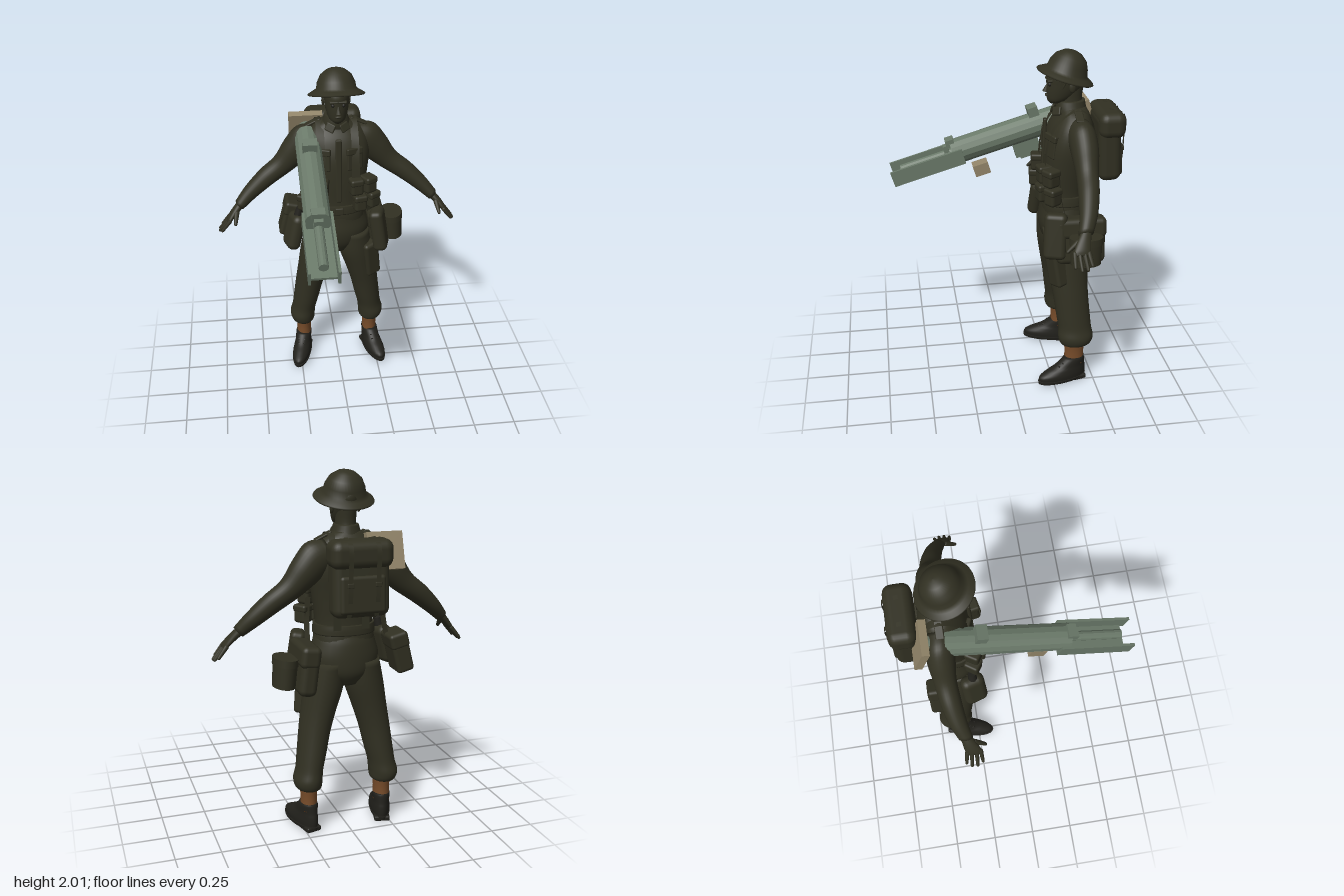
import * as THREE from 'three';
import { RoundedBoxGeometry } from 'three/addons/geometries/RoundedBoxGeometry.js';

const paint = (name, color, side = THREE.FrontSide) => {
  const m = new THREE.MeshStandardMaterial({ color, side });
  m.name = name;
  return m;
};

export function createModel() {
  const olive = paint('dark olive cloth', 0x313022, THREE.DoubleSide);
  const leather = paint('black leather', 0x22211c);
  const brown = paint('brown gaiter', 0x774c2a);
  const green = paint('grey green metal', 0x6a7969);
  const tan = paint('tan padding', 0x93866a);
  const root = new THREE.Group();
  root.name = 'soldier';

  const group = (name, parent = root) => {
    const g = new THREE.Group();
    g.name = name;
    parent.add(g);
    return g;
  };
  const add = (name, geo, mat, pos = [0, 0, 0], rot = [0, 0, 0], parent = root) => {
    const m = new THREE.Mesh(geo, mat);
    m.name = name;
    m.position.set(...pos);
    m.rotation.set(...rot);
    parent.add(m);
    return m;
  };
  const soft = (w, h, d, r = 0.02) => new RoundedBoxGeometry(w, h, d, 3, Math.min(r, w / 2.1, h / 2.1, d / 2.1));
  const flat = (geo) => {
    const g = geo.toNonIndexed();
    g.computeVertexNormals();
    return g;
  };

  // Loft through rings [x, y, z, ru, rv, angle]; ru lies in the xy plane at angle, rv along z
  const loft = (rings, e = 1, steps = 5, n = 28) => {
    const place = new THREE.CatmullRomCurve3(rings.map((r) => new THREE.Vector3(r[0], r[1], r[2])), false, 'catmullrom');
    const size = new THREE.CatmullRomCurve3(rings.map((r) => new THREE.Vector3(r[3], r[4], r[5] || 0)), false, 'catmullrom');
    const rows = (rings.length - 1) * steps, pos = [], idx = [];
    const pw = (v) => Math.sign(v) * Math.abs(v) ** e;
    for (let i = 0; i <= rows; i++) {
      const c = place.getPoint(i / rows), s = size.getPoint(i / rows);
      for (let j = 0; j < n; j++) {
        const t = (j / n) * Math.PI * 2, u = s.x * pw(Math.cos(t)), v = s.y * pw(Math.sin(t));
        pos.push(c.x + u * Math.cos(s.z), c.y + u * Math.sin(s.z), c.z + v);
      }
    }
    for (let i = 0; i < rows; i++) for (let j = 0; j < n; j++) {
      const a = i * n + j, b = i * n + ((j + 1) % n);
      idx.push(a, a + n, b, b, a + n, b + n);
    }
    const c0 = pos.length / 3, last = rows * n;
    const p0 = place.getPoint(0), p1 = place.getPoint(1);
    pos.push(p0.x, p0.y, p0.z, p1.x, p1.y, p1.z);
    for (let j = 0; j < n; j++) {
      const k = (j + 1) % n;
      idx.push(c0, j, k, c0 + 1, last + k, last + j);
    }
    const g = new THREE.BufferGeometry();
    g.setAttribute('position', new THREE.Float32BufferAttribute(pos, 3));
    g.setIndex(idx);
    g.computeVertexNormals();
    return g;
  };
  const mirror = (rings, s) => rings.map(([x, y, z, u, v, a = 0]) => [x * s, y, z, u, v, a * s]);

  // Tapered rod between two points
  const rod = (name, a, b, r0, r1, mat, parent) => {
    const p = new THREE.Vector3(...a), d = new THREE.Vector3(...b).sub(p), len = d.length();
    const pts = [[0, -r0], [r0 * 0.8, -r0 * 0.6], [r0, 0], [r1, len - r1], [r1 * 0.7, len - r1 * 0.3], [0, len]];
    const m = add(name, new THREE.LatheGeometry(pts.map((q) => new THREE.Vector2(...q)), 10), mat, a, [0, 0, 0], parent);
    m.quaternion.setFromUnitVectors(new THREE.Vector3(0, 1, 0), d.normalize());
  };
  // Flat webbing along a path, its width across x
  const ribbon = (name, points, width, parent = root) => {
    const curve = new THREE.CatmullRomCurve3(points.map((p) => new THREE.Vector3(...p)));
    const geo = new THREE.PlaneGeometry(width, 1, 1, 24), p = geo.attributes.position;
    for (let i = 0; i < p.count; i++) {
      const q = curve.getPoint(Math.floor(i / 2) / 24);
      p.setXYZ(i, q.x + p.getX(i), q.y, q.z);
    }
    geo.computeVertexNormals();
    add(name, geo, olive, [0, 0, 0], [0, 0, 0], parent);
  };

  // Jacket, pelvis, neck and collar
  add('jacket', loft([[0, 1.05, -0.335, 0.17, 0.135], [0, 1.12, -0.33, 0.168, 0.132], [0, 1.2, -0.33, 0.16, 0.125],
    [0, 1.35, -0.335, 0.18, 0.132], [0, 1.48, -0.35, 0.195, 0.138], [0, 1.58, -0.365, 0.185, 0.12],
    [0, 1.65, -0.375, 0.14, 0.088], [0, 1.69, -0.37, 0.075, 0.07]], 0.9), olive);
  add('trouserSeat', loft([[0, 0.85, -0.34, 0.08, 0.1], [0, 0.92, -0.34, 0.17, 0.138], [0, 1.0, -0.335, 0.197, 0.148],
    [0, 1.08, -0.335, 0.178, 0.14], [0, 1.13, -0.33, 0.165, 0.13]]), olive);
  add('belt', loft([[0, 1.135, -0.33, 0.174, 0.138], [0, 1.165, -0.33, 0.172, 0.138], [0, 1.19, -0.33, 0.169, 0.135]], 0.9), olive);
  add('buckle', soft(0.05, 0.045, 0.02, 0.006), olive, [0, 1.163, -0.19]);
  add('placket', soft(0.035, 0.4, 0.02, 0.008), olive, [0, 1.42, -0.209], [-0.03, 0, 0]);
  add('neck', loft([[0, 1.64, -0.375, 0.075, 0.075], [0, 1.72, -0.355, 0.056, 0.066], [0, 1.82, -0.36, 0.056, 0.07]]), olive);
  add('collar', loft([[0, 1.655, -0.365, 0.092, 0.088], [0, 1.69, -0.36, 0.078, 0.085], [0, 1.725, -0.36, 0.066, 0.078]]), olive);

  // Head and face
  const head = group('head');
  add('face', loft([[0, 1.708, -0.27, 0.022, 0.03], [0, 1.728, -0.285, 0.047, 0.06], [0, 1.765, -0.308, 0.062, 0.088],
    [0, 1.82, -0.328, 0.073, 0.108], [0, 1.87, -0.335, 0.076, 0.113], [0, 1.92, -0.34, 0.06, 0.09]]), olive, [0, 0, 0], [0, 0, 0], head);
  add('nose', new THREE.ConeGeometry(0.017, 0.055, 10), olive, [0, 1.802, -0.219], [-0.25, 0, 0], head);
  add('lips', new THREE.SphereGeometry(0.02, 12, 8).scale(1, 0.4, 0.5), olive, [0, 1.756, -0.221], [0, 0, 0], head);
  add('brow', soft(0.1, 0.014, 0.03, 0.007), olive, [0, 1.842, -0.233], [0, 0, 0], head);
  for (const s of [1, -1]) {
    add('eye', new THREE.SphereGeometry(0.011, 10, 8), leather, [s * 0.03, 1.822, -0.232], [0, 0, 0], head);
    add('ear', new THREE.SphereGeometry(0.024, 12, 8).scale(0.4, 1.2, 0.8), olive, [s * 0.075, 1.81, -0.35], [0, 0, 0], head);
    rod('chinStrap', [s * 0.082, 1.86, -0.32], [s * 0.035, 1.72, -0.262], 0.005, 0.005, olive, head);
  }
  const brim = [[0.11, -0.005], [0.16, -0.024], [0.165, -0.02], [0.162, -0.014], [0.135, 0.002], [0.115, 0.014],
    [0.109, 0.05], [0.088, 0.092], [0.052, 0.12], [0.025, 0.129], [0, 0.131]];
  add('helmet', new THREE.LatheGeometry(brim.map((p) => new THREE.Vector2(...p)), 40), olive, [0, 1.875, -0.328], [-0.3, 0, 0], head);

  for (const s of [1, -1]) {
    const side = s > 0 ? 'left' : 'right';

    // Arm, palm and fingers
    const arm = group(side + 'Arm');
    add('sleeve', loft(mirror([[0.11, 1.575, -0.385, 0.085, 0.07, -1.9], [0.18, 1.55, -0.39, 0.1, 0.078, -2.1], [0.245, 1.485, -0.395, 0.088, 0.075, -2.25],
      [0.32, 1.4, -0.392, 0.066, 0.062, -2.35], [0.42, 1.325, -0.38, 0.058, 0.058, -2.35], [0.52, 1.24, -0.358, 0.046, 0.05, -2.3],
      [0.59, 1.172, -0.33, 0.034, 0.04, -2.3]], s)), olive, [0, 0, 0], [0, 0, 0], arm);
    add('palm', loft(mirror([[0.575, 1.185, -0.335, 0.024, 0.03, -2.3], [0.615, 1.145, -0.315, 0.022, 0.038, -2.3],
      [0.65, 1.105, -0.3, 0.018, 0.045, -2.3], [0.667, 1.085, -0.295, 0.01, 0.04, -2.3]], s)), olive, [0, 0, 0], [0, 0, 0], arm);
    [[-0.335, -0.348, 0.705, 1.035], [-0.31, -0.32, 0.722, 1.02], [-0.283, -0.288, 0.724, 1.018], [-0.26, -0.255, 0.708, 1.03]].forEach(([z0, z1, x, y]) =>
      rod('finger', [s * 0.655, 1.097, z0], [s * x, y, z1], 0.013, 0.009, olive, arm));
    rod('thumb', [s * 0.61, 1.14, -0.285], [s * 0.622, 1.085, -0.222], 0.016, 0.01, olive, arm);

    // Trouser leg, gaiter and boot
    const leg = group(side + 'Leg');
    add('trouserLeg', loft(mirror([[0.22, 0.245, -0.38, 0.045, 0.06], [0.223, 0.265, -0.385, 0.072, 0.093], [0.226, 0.31, -0.385, 0.08, 0.106],
      [0.215, 0.37, -0.38, 0.076, 0.1], [0.2, 0.45, -0.37, 0.081, 0.102], [0.177, 0.58, -0.355, 0.088, 0.106], [0.15, 0.7, -0.343, 0.098, 0.117],
      [0.118, 0.84, -0.335, 0.11, 0.133], [0.1, 0.98, -0.335, 0.098, 0.14]], s)), olive, [0, 0, 0], [0, 0, 0], leg);
    add('gaiter', loft([[s * 0.22, 0.12, -0.38, 0.047, 0.06], [s * 0.22, 0.2, -0.38, 0.045, 0.058], [s * 0.22, 0.27, -0.38, 0.05, 0.065]]), brown, [0, 0, 0], [0, 0, 0], leg);
    const boot = group(side + 'Boot', leg);
    boot.position.set(s * 0.222, 0, -0.38);
    boot.rotation.y = s * 0.25;
    add('upper', loft([[0, 0.02, 0.075, 0.055, 0.15], [0, 0.055, 0.075, 0.058, 0.152], [0, 0.085, 0.05, 0.054, 0.125],
      [0, 0.11, 0.025, 0.05, 0.095], [0, 0.15, 0.002, 0.05, 0.068], [0, 0.165, 0, 0.046, 0.062]]), leather, [0, 0, 0], [0, 0, 0], boot);
    add('sole', loft([[0, 0.012, 0.078, 0.055, 0.155], [0, 0.032, 0.078, 0.06, 0.158]]), leather, [0, 0, 0], [0, 0, 0], boot);
    add('heel', soft(0.09, 0.03, 0.09, 0.01), leather, [0, 0.015, -0.025], [0, 0, 0], boot);
    for (let i = 0; i < 3; i++) add('lace', soft(0.05, 0.008, 0.012, 0.003), leather, [0, 0.095 + i * 0.018, 0.128 - i * 0.024], [0, 0, 0], boot);

    // Chest pocket, lapel and shoulder strap
    add(side + 'ChestPocket', soft(0.1, 0.12, 0.02, 0.008), olive, [s * 0.095, 1.48, -0.232], [-0.08, s * 0.4, 0]);
    add(side + 'PocketFlap', soft(0.106, 0.04, 0.026, 0.008), olive, [s * 0.095, 1.535, -0.235], [-0.1, s * 0.4, 0]);
    add(side + 'CollarFlap', soft(0.06, 0.05, 0.015, 0.007), olive, [s * 0.042, 1.672, -0.272], [-0.45, s * 0.5, s * 0.5]);
    add(side + 'ShoulderStrap', soft(0.1, 0.014, 0.045, 0.006), olive, [s * 0.135, 1.667, -0.38], [0, 0, -s * 0.45]);

    // Ammunition pouches in two rows
    const pouches = group(side + 'Pouches');
    [[0.1, 1.325, -0.197, 0.2], [0.178, 1.325, -0.222, 0.55], [0.122, 1.222, -0.19, 0.2], [0.2, 1.222, -0.23, 0.6]].forEach(([x, y, z, a]) => {
      add('pouch', soft(0.076, 0.1, 0.08, 0.018), olive, [s * x, y, z], [0, s * a, 0], pouches);
      add('pouchFlap', soft(0.081, 0.042, 0.087, 0.014), olive, [s * x, y + 0.032, z], [0, s * a, 0], pouches);
    });
    ribbon(side + 'Webbing', [[s * 0.1, 1.37, -0.2], [s * 0.1, 1.5, -0.215], [s * 0.1, 1.6, -0.255], [s * 0.1, 1.665, -0.32], [s * 0.1, 1.69, -0.38],
      [s * 0.1, 1.655, -0.445], [s * 0.09, 1.5, -0.49], [s * 0.08, 1.3, -0.465], [s * 0.08, 1.17, -0.465]], 0.045);
  }

  // Backpack with flap, straps and buckles
  const pack = group('backpack');
  pack.position.set(0, 1.47, -0.565);
  add('packBody', soft(0.31, 0.39, 0.13, 0.045), olive, [0, -0.005, 0], [0.05, 0, 0], pack);
  add('packFlap', soft(0.34, 0.15, 0.155, 0.05), olive, [0, 0.13, -0.008], [0, 0, 0], pack);
  add('packPocket', soft(0.25, 0.2, 0.05, 0.02), olive, [0, -0.075, -0.055], [0.05, 0, 0], pack);
  for (const x of [-0.075, 0.075]) {
    ribbon('packStrap', [[x, 0.212, 0], [x, 0.18, -0.085], [x, 0.05, -0.09], [x, -0.1, -0.084], [x, -0.19, -0.065]], 0.025, pack);
    add('packBuckle', soft(0.035, 0.025, 0.012, 0.004), olive, [x, -0.02, -0.087], [0, 0, 0], pack);
  }

  // Left hip: haversack, bottle pouch, mess tin and thigh pocket
  add('haversack', soft(0.1, 0.27, 0.28, 0.035), olive, [0.245, 0.965, -0.385], [0, 0, 0.12]);
  add('haversackFlap', soft(0.11, 0.12, 0.29, 0.03), olive, [0.24, 1.045, -0.385], [0, 0, 0.12]);
  add('frontPouch', soft(0.085, 0.27, 0.13, 0.03), olive, [0.25, 1.0, -0.24], [0, -0.3, 0.15]);
  ribbon('haversackSling', [[0.2, 1.08, -0.31], [0.195, 1.2, -0.28], [0.185, 1.32, -0.27]], 0.03);
  const tin = group('messTin');
  tin.position.set(0.355, 0.95, -0.395);
  tin.rotation.z = 0.08;
  add('tinBody', new THREE.CylinderGeometry(1, 0.94, 0.15, 32).scale(0.066, 1, 0.092), olive, [0, -0.005, 0], [0, 0, 0], tin);
  add('tinLid', new THREE.CylinderGeometry(1, 1, 0.04, 32).scale(0.07, 1, 0.096), olive, [0, 0.062, 0], [0, 0, 0], tin);
  add('thighPocket', soft(0.1, 0.25, 0.11, 0.02), olive, [0.195, 0.785, -0.272], [0.1, 0.5, 0.12]);
  add('thighPocketFlap', soft(0.106, 0.05, 0.117, 0.015), olive, [0.185, 0.885, -0.268], [0.1, 0.5, 0.12]);

  // Right hip: satchel and water bottle
  const satchel = group('rightSatchel');
  satchel.position.set(-0.285, 1.02, -0.43);
  satchel.rotation.z = -0.25;
  add('satchelBody', soft(0.1, 0.22, 0.15, 0.02), olive, [0, 0, 0], [0, 0, 0], satchel);
  add('satchelFlap', soft(0.108, 0.09, 0.158, 0.02), olive, [0, 0.075, 0], [0, 0, 0], satchel);
  add('satchelTab', soft(0.02, 0.09, 0.03, 0.006), olive, [-0.048, 0.015, 0], [0, 0, 0], satchel);
  add('waterBottle', soft(0.085, 0.23, 0.14, 0.04), olive, [-0.27, 1.02, -0.245], [0, 0.3, -0.25]);
  add('bottleNeck', new THREE.CylinderGeometry(0.022, 0.026, 0.05, 16), leather, [-0.238, 1.148, -0.245], [0, 0, -0.25]);
  ribbon('satchelSling', [[-0.22, 1.1, -0.42], [-0.2, 1.2, -0.42], [-0.185, 1.32, -0.42]], 0.03);

  // Shoulder launcher, its local z running to the muzzle
  const gun = group('launcher');
  gun.position.set(-0.17, 1.387, 0.273);
  gun.rotation.x = 0.29;
  const bar = (name, r, z0, z1, y, n, mat = green) =>
    add(name, flat(new THREE.CylinderGeometry(r, r, z1 - z0, n)), mat, [0, y, (z0 + z1) / 2], [Math.PI / 2, 0, 0], gun);
  const block = (name, w, h, d, x, y, z, mat = green) => add(name, new THREE.BoxGeometry(w, h, d), mat, [x, y, z], [0, 0, 0], gun);
  bar('barrel', 0.075, -0.68, 0.025, 0, 14);
  bar('rearSleeve', 0.045, -0.78, -0.66, -0.01, 12);
  block('troughFloor', 0.17, 0.015, 0.4, 0, -0.052, 0.17);
  for (const s of [1, -1]) block('troughWall', 0.015, 0.09, 0.43, s * 0.0775, -0.015, 0.185);
  bar('spigot', 0.027, 0, 0.34, 0.0, 12);
  block('frontSight', 0.075, 0.045, 0.05, 0, 0.065, 0.022);
  block('frontSightPost', 0.05, 0.04, 0.03, 0, 0.035, 0.055);
  block('rearSight', 0.085, 0.055, 0.06, 0, 0.09, -0.49);
  block('triggerHousing', 0.05, 0.1, 0.14, 0, -0.105, -0.39);
  block('triggerGuard', 0.035, 0.02, 0.17, 0, -0.16, -0.43);
  block('gripStem', 0.025, 0.1, 0.03, 0, -0.1, -0.46);
  block('handGrip', 0.08, 0.068, 0.092, 0, -0.148, -0.105, tan);
  block('buttPlate', 0.2, 0.2, 0.042, 0, -0.023, -0.79, tan);

  return root;
}
